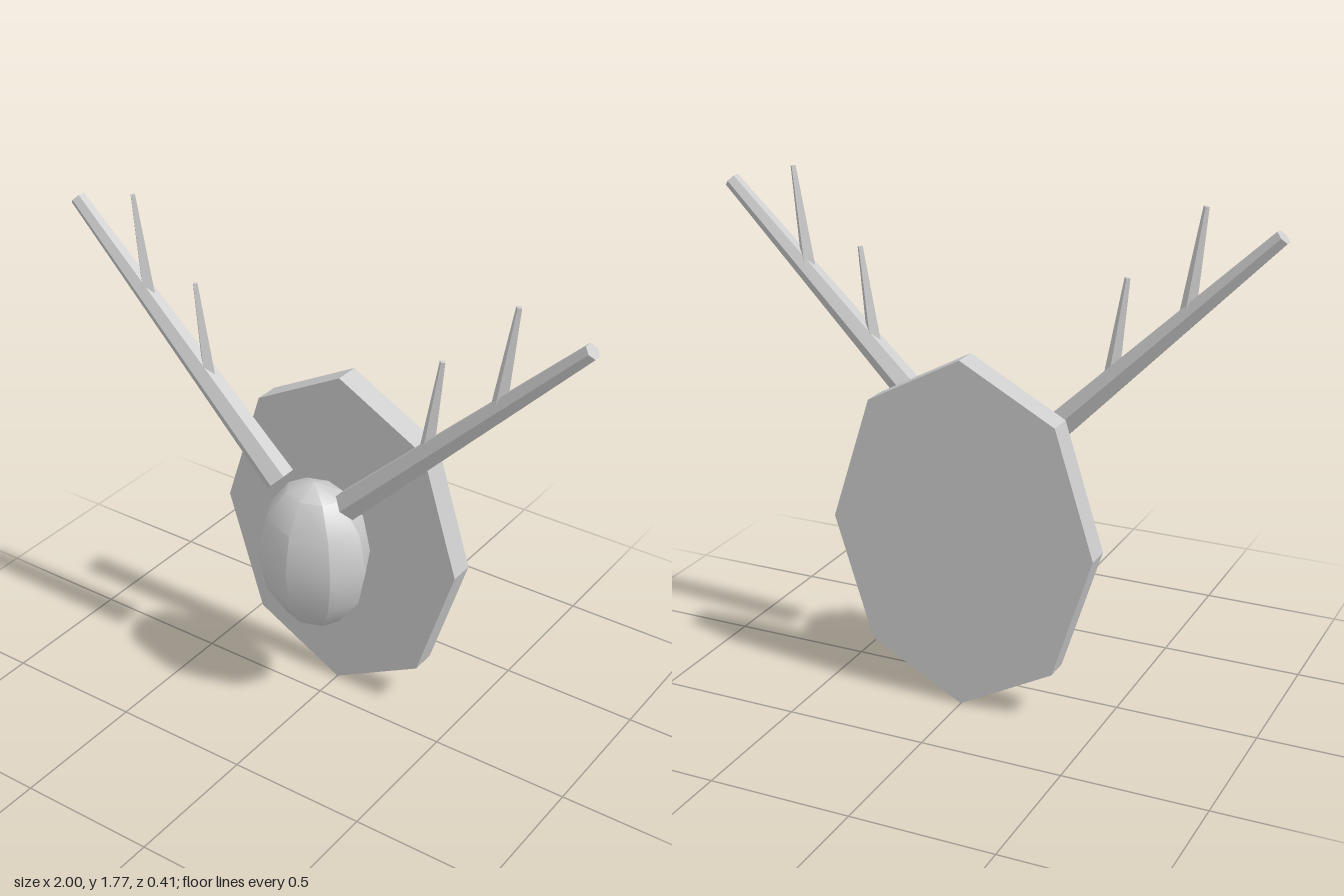
import * as THREE from 'three';
import { toCreasedNormals } from 'three/addons/utils/BufferGeometryUtils.js';

const HEAD_Z = 0.035;

export function createModel() {
  const model = new THREE.Group();
  model.name = 'mountedTrophy';
  const grey = new THREE.MeshStandardMaterial({ color: 0xcccccc });
  grey.name = 'plain grey';

  const add = (parent, name, geometry, creaseDegrees) => {
    const mesh = new THREE.Mesh(toCreasedNormals(geometry, THREE.MathUtils.degToRad(creaseDegrees)), grey);
    mesh.name = name;
    parent.add(mesh);
    return mesh;
  };

  // Tapered rod from (x0, y0) to (x1, y1) in the plane of the antlers
  const rod = (parent, name, [x0, y0], [x1, y1], r0, r1, sides) => {
    const dx = x1 - x0, dy = y1 - y0;
    const geometry = new THREE.CylinderGeometry(r1, r0, Math.hypot(dx, dy), sides);
    const mesh = add(parent, name, geometry, 20);
    mesh.position.set((x0 + x1) / 2, (y0 + y1) / 2, HEAD_Z);
    mesh.rotation.z = -Math.atan2(dx, dy);
  };

  // Eight-sided wall plaque, taller than wide
  const plaque = new THREE.CylinderGeometry(1, 1, 0.09, 8);
  plaque.rotateX(Math.PI / 2).scale(0.478, 0.622, 1);
  add(model, 'plaque', plaque, 20).position.set(0, 0.625, -0.155);

  // Faceted egg-shaped head
  const head = new THREE.SphereGeometry(1, 8, 6);
  head.scale(0.213, 0.285, 0.17);
  add(model, 'head', head, 36).position.set(0, 0.63, HEAD_Z);

  // Antlers, each a main beam with two upright tines
  for (const [side, s] of [['left', 1], ['right', -1]]) {
    const antler = new THREE.Group();
    antler.name = side + 'Antler';
    rod(antler, side + 'Beam', [s * 0.142, 0.877], [s * 0.983, 1.705], 0.056, 0.028, 6);
    rod(antler, side + 'InnerTine', [s * 0.433, 1.16], [s * 0.483, 1.52], 0.028, 0.01, 4);
    rod(antler, side + 'OuterTine', [s * 0.685, 1.41], [s * 0.735, 1.775], 0.028, 0.01, 4);
    model.add(antler);
  }

  return model;
}
